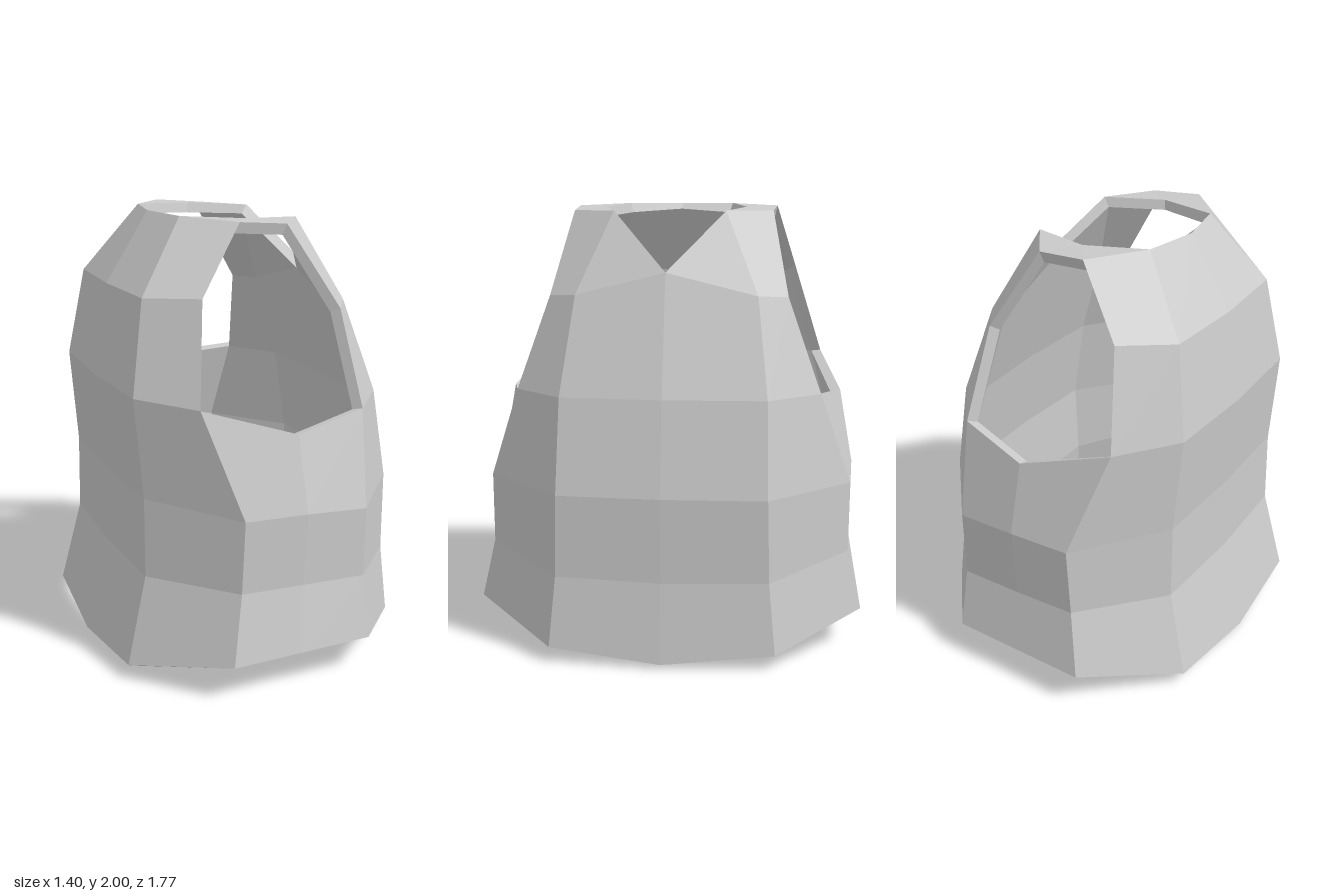
import * as THREE from 'three';

const EDGE_THICKNESS = 0.047;
const WALL_THICKNESS = 0.062;

// Vertical seams of the front half, from the left side (+x) round to the right side (-x), hem upwards
const leftSide = [[0.70, 0.02, 0], [0.66, 0.38, 0], [0.67, 0.76, 0], [0.60, 1.18, 0], [0.45, 1.71, 0]];
const leftSeam = [[0.67, 0.07, 0.50], [0.645, 0.39, 0.47], [0.65, 0.76, 0.46], [0.58, 1.18, 0.45], [0.43, 1.61, 0.40], [0.26, 1.97, 0.25]];
const leftHole = [[0.33, 0.175, 0.885], [0.33, 0.45, 0.82], [0.33, 0.77, 0.82], [0.38, 1.18, 0.68], [0.34, 1.60, 0.53], [0.11, 1.97, 0.455]];
const middle = [[0, 0.175, 0.885], [0.02, 0.47, 0.832], [0.03, 0.80, 0.842], [0.01, 1.14, 0.78]];
const rightHole = [[-0.33, 0.175, 0.885], [-0.27, 0.48, 0.825], [-0.26, 0.81, 0.835], [-0.40, 1.27, 0.695], [-0.33, 1.70, 0.56], [-0.12, 1.99, 0.47]];
const rightSeam = [[-0.67, 0.07, 0.50], [-0.57, 0.47, 0.47], [-0.565, 0.83, 0.46], [-0.60, 1.28, 0.45], [-0.53, 1.69, 0.39], [-0.30, 2.0, 0.25]];
const rightSide = [[-0.70, 0.02, 0], [-0.59, 0.47, 0], [-0.58, 0.83, 0], [-0.62, 1.28, 0], [-0.55, 1.69, 0], [-0.35, 2.0, 0]];
const neck = [-0.02, 1.985, 0.33];

const mirrorZ = ([x, y, z]) => [x, y, z === 0 ? 0 : -z];

// Outer faces of the front half
function frontFaces() {
  const faces = [];
  const strip = (a, b, rows) => {
    for (let r = 0; r < rows; r++) faces.push([b[r], a[r], a[r + 1], b[r + 1]]);
  };
  strip(leftSide, leftSeam, 4);
  strip(leftSeam, leftHole, 5);
  strip(leftHole, middle, 3);
  strip(middle, rightHole, 3);
  strip(rightHole, rightSeam, 5);
  strip(rightSeam, rightSide, 5);
  // notch side and shoulder
  faces.push([leftSeam[4], leftSide[4], leftSeam[5]]);
  faces.push([leftHole[5], leftSeam[5], neck]);
  faces.push([rightHole[5], leftHole[5], neck]);
  faces.push([rightSeam[5], rightHole[5], neck]);
  return faces;
}

// Normal of a triangle or a slightly twisted quad
function faceNormal([a, b, c, d = a]) {
  return c.clone().sub(a).cross(d.clone().sub(b)).normalize();
}

// Gives a sheet of faces an inner skin and closes every open edge with a rim;
// adjust(point, normal) may tilt the direction in which a point is moved inwards
function thicken(faces, adjust) {
  const ids = new Map(), points = [], around = [];
  const id = (p) => {
    const key = p.join();
    if (!ids.has(key)) {
      ids.set(key, points.length);
      points.push(new THREE.Vector3(...p));
      around.push([]);
    }
    return ids.get(key);
  };
  const loops = faces.map((f) => f.map(id));
  const edges = new Set();
  for (const f of loops) {
    const n = faceNormal(f.map((i) => points[i]));
    f.forEach((v, i) => {
      around[v].push(n);
      edges.add(v + '_' + f[(i + 1) % f.length]);
    });
  }
  const openEdges = [...edges].map((e) => e.split('_').map(Number)).filter(([a, b]) => !edges.has(b + '_' + a));
  const onRim = new Set(openEdges.flat());
  const inner = points.map((p, i) => {
    const n = new THREE.Vector3();
    for (const m of around[i]) n.add(m);
    n.normalize();
    const spread = around[i].reduce((s, m) => s + m.dot(n), 0) / around[i].length;
    adjust(p, n);
    return p.clone().addScaledVector(n, -(onRim.has(i) ? EDGE_THICKNESS : WALL_THICKNESS) / spread);
  });

  // flat polygons, one normal each
  const position = [], normal = [];
  const polygon = (p) => {
    const n = faceNormal(p);
    for (let i = 1; i < p.length - 1; i++) {
      for (const v of [p[0], p[i], p[i + 1]]) {
        position.push(v.x, v.y, v.z);
        normal.push(n.x, n.y, n.z);
      }
    }
  };
  for (const f of loops) {
    polygon(f.map((i) => points[i]));
    polygon(f.map((i) => inner[i]).reverse());
  }
  for (const [a, b] of openEdges) polygon([points[b], points[a], inner[a], inner[b]]);
  const g = new THREE.BufferGeometry();
  g.setAttribute('position', new THREE.Float32BufferAttribute(position, 3));
  g.setAttribute('normal', new THREE.Float32BufferAttribute(normal, 3));
  return g;
}

export function createModel() {
  const group = new THREE.Group();
  group.name = 'sleevelessTop';
  const front = frontFaces();
  // mirror the front half to the back (z = 0 points stay shared)
  const back = front.map((f) => f.map(mirrorZ).reverse());
  const rightEdge = new Set(rightHole.slice(3).map((p) => p[0]));
  const geometry = thicken([...front, ...back], (p, n) => {
    // the right armhole edge is cut back under the outer skin, the hem hangs slightly lower inside
    if (p.y > 1 && rightEdge.has(p.x)) n.setX(0.45).normalize();
    if (p.y < 0.2) n.y += 0.2;
  });
  const shell = new THREE.Mesh(geometry, new THREE.MeshStandardMaterial({ color: 0xcccccc }));
  shell.name = 'garmentShell';
  group.add(shell);
  return group;
}
